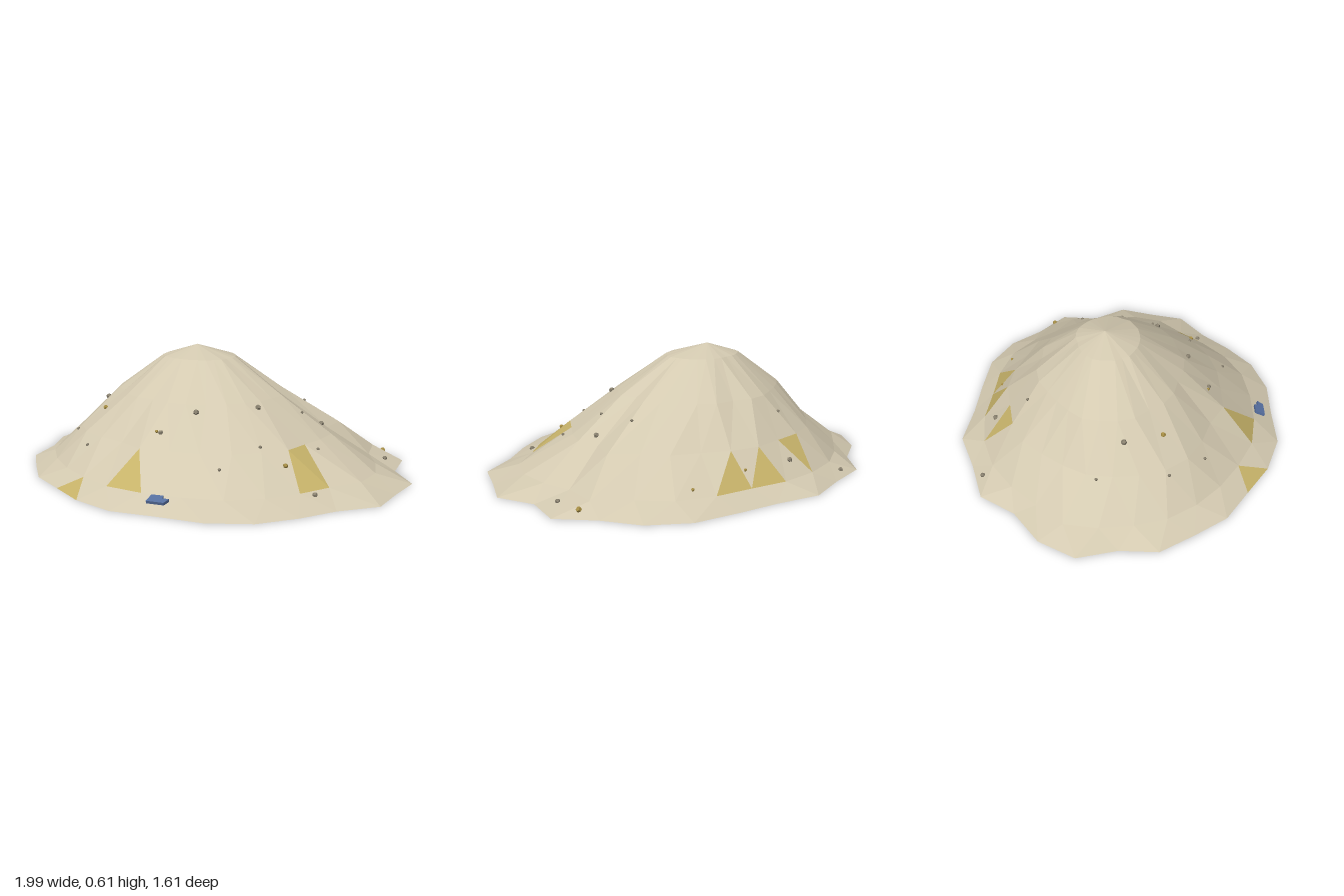
import * as THREE from 'three';

const N = 28;

// Wobble of the foot outline, percent of its ellipse
const FOOT = [100, 97, 100, 93, 95, 99, 99, 96, 99, 97, 94, 96, 95, 98,
  95, 102, 100, 94, 101, 97, 100, 94, 95, 100, 100, 96, 101, 92];

// Rings from the ground up: height, x and z centre, x and z radius, and the sharpest gullies and ridges
const RINGS = [
  { y: 0, cx: 0, cz: 0, rx: 1, rz: 0.83 },
  { y: 0.058, cx: -0.02, cz: -0.01, rx: 0.87, rz: 0.72, special: { 2: 93, 25: 104, 26: 94 } },
  { y: 0.205, cx: -0.05, cz: -0.03, rx: 0.65, rz: 0.54, special: { 26: 108, 27: 95 } },
  { y: 0.385, cx: -0.09, cz: -0.05, rx: 0.43, rz: 0.36, special: { 27: 93 } },
  { y: 0.555, cx: -0.105, cz: -0.06, rx: 0.19, rz: 0.16, special: { 20: 94 } },
];
const APEX = [-0.125, 0.608, -0.075];

// Faces of darker sand, keyed by band, direction and step
const OCHRE = new Set(['0up9', '1up8', '1up21', '1up22', '1down19', '1down2', '1up3']);

// Larger pebbles: x, z
const PEBBLES = [
  [-0.51, -0.66], [-0.2, -0.63], [0.8, -0.41], [0.83, -0.27], [0.53, -0.09], [0.28, 0.19],
  [0.47, 0.39], [0.62, 0.44], [0.02, 0.34], [-0.12, 0.44], [-0.52, 0.2], [-0.59, 0.02],
];

function seeded(seed) {
  return () => {
    seed = (seed * 16807) % 2147483647;
    return seed / 2147483647;
  };
}

// Odd rings sit half a step round; the second follows the foot, higher ones wobble freely
function makeRings() {
  const random = seeded(77);
  return RINGS.map(({ y, cx, cz, rx, rz, special = {} }, i) => FOOT.map((foot, k) => {
    const free = 96 + random() * 7;
    const wobble = [foot, (foot + FOOT[(k + 1) % N]) / 2][i] ?? free;
    const f = (special[k] ?? wobble) / 100;
    const a = ((k + (i % 2) / 2) / N) * Math.PI * 2;
    return [cx + rx * f * Math.cos(a), y, cz + rz * f * Math.sin(a)];
  }));
}

function facets(tris, material, name) {
  const geo = new THREE.BufferGeometry();
  geo.setAttribute('position', new THREE.Float32BufferAttribute(tris.flat(2), 3));
  geo.computeVertexNormals();
  const mesh = new THREE.Mesh(geo, material);
  mesh.name = name;
  return mesh;
}

function paint(name, color) {
  const m = new THREE.MeshStandardMaterial({ color });
  m.name = name;
  m.flatShading = true;
  return m;
}

export function createModel() {
  const group = new THREE.Group();
  group.name = 'sandPile';
  const sand = paint('sand', 0xd3c9b0);
  const ochre = paint('ochreSand', 0xc6b269);
  const stone = paint('stone', 0x8a8270);
  const ochreStone = paint('ochreStone', 0xa88f45);
  const blue = paint('blue', 0x566f9f);

  // Slopes: zigzag bands of triangles between neighbouring rings
  const sandTris = [], ochreTris = [];
  const rings = makeRings();
  for (let b = 0; b < rings.length - 1; b++) {
    const low = rings[b], high = rings[b + 1];
    const s = b % 2;
    for (let k = 0; k < N; k++) {
      const n = (k + 1) % N;
      const l0 = low[(k - s + N) % N], l1 = low[(k + 1 - s) % N];
      (OCHRE.has(b + 'up' + k) ? ochreTris : sandTris).push([l0, high[k], l1]);
      (OCHRE.has(b + 'down' + k) ? ochreTris : sandTris).push([high[k], high[n], l1]);
    }
  }
  // Peak and flat underside
  for (let k = 0; k < N; k++) {
    const n = (k + 1) % N;
    sandTris.push([rings[4][k], APEX, rings[4][n]], [rings[0][k], rings[0][n], [0, 0, 0]]);
  }
  const pile = facets(sandTris, sand, 'pile');
  const patches = facets(ochreTris, ochre, 'ochrePatches');
  group.add(pile, patches);

  // Pebbles dropped onto the slope
  const ray = new THREE.Raycaster();
  const down = new THREE.Vector3(0, -1, 0);
  function addPebble(x, z, size, i) {
    ray.set(new THREE.Vector3(x, 2, z), down);
    const hit = ray.intersectObjects([pile, patches])[0];
    const pebble = new THREE.Mesh(new THREE.DodecahedronGeometry(size), i % 4 === 2 ? ochreStone : stone);
    pebble.name = 'pebble';
    pebble.position.set(x, hit.point.y + size * 0.3, z);
    pebble.rotation.set(i, i * 1.7, i * 0.6);
    group.add(pebble);
  }
  PEBBLES.forEach(([x, z], i) => addPebble(x, z, 0.012 + (i % 3) * 0.001, i));

  // Smaller pebbles scattered between them
  const random = seeded(5);
  for (let i = 0; i < 12; i++) {
    const a = i * 2.4, r = 0.45 + random() * 0.4;
    addPebble(r * Math.cos(a), 0.83 * r * Math.sin(a), 0.008, i);
  }

  // Small blue scrap lying on the front foot of the slope
  const outline = new THREE.Shape([
    [-0.048, -0.025], [0.036, -0.025], [0.05, 0.006], [0.02, 0.006], [0.016, 0.025], [-0.04, 0.025],
  ].map(([x, y]) => new THREE.Vector2(x, y)));
  const scrap = new THREE.Mesh(
    new THREE.ExtrudeGeometry(outline, { depth: 0.014, bevelEnabled: false }), blue);
  scrap.name = 'blueScrap';
  scrap.position.set(-0.017, 0.043, 0.723);
  scrap.rotation.x = -Math.PI / 2 + 0.3;
  group.add(scrap);

  return group;
}
